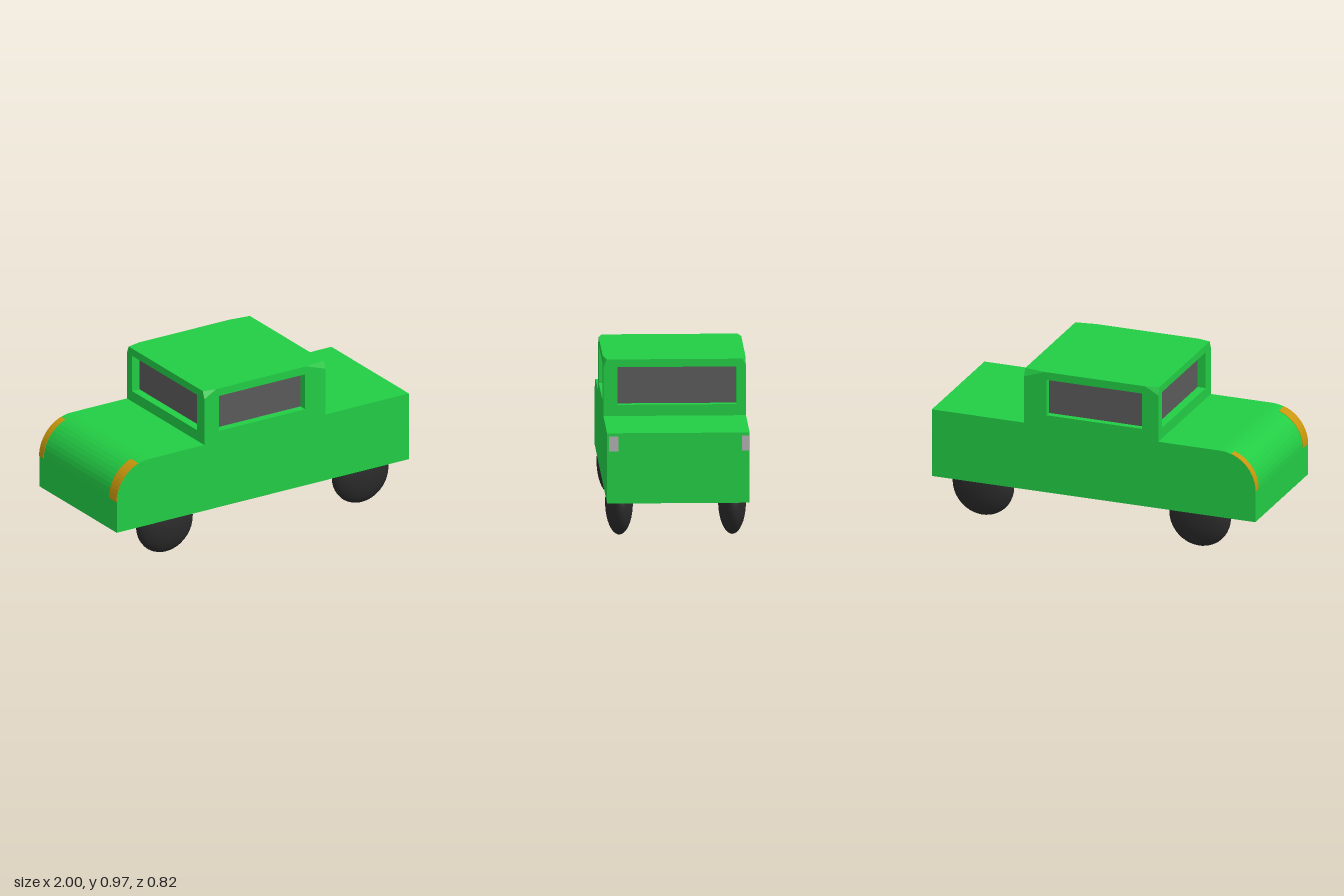
import * as THREE from 'three';
import { ConvexGeometry } from 'three/addons/geometries/ConvexGeometry.js';

const paint = new THREE.MeshStandardMaterial({ color: 0x22cc44 });
const glass = new THREE.MeshStandardMaterial({ color: 0x5a5a5a });
const rubber = new THREE.MeshStandardMaterial({ color: 0x2b2b2b });
const amber = new THREE.MeshStandardMaterial({ color: 0xc8960c });
const lampGrey = new THREE.MeshStandardMaterial({ color: 0xb0b0b0 });

// Main dimensions
const HALF_W = 0.41, FLOOR = 0.23, DECK = 0.64, ROOF = 0.97;
const CAB_X0 = -0.4, CAB_X1 = 0.43, WALL = 0.05;
const SILL = 0.705, LINTEL = 0.925;
const NOSE_R = 0.22, NOSE_X = -1 + NOSE_R, NOSE_Y = DECK - NOSE_R;

export function createModel() {
  const car = new THREE.Group();
  car.name = 'car';

  const add = (name, geometry, material, parent = car) => {
    const mesh = new THREE.Mesh(geometry, material);
    mesh.name = name;
    parent.add(mesh);
    return mesh;
  };
  // Box given by its minimum and maximum corners
  const box = (name, a, b, material, parent) => {
    const g = new THREE.BoxGeometry(b[0] - a[0], b[1] - a[1], b[2] - a[2]);
    g.translate((a[0] + b[0]) / 2, (a[1] + b[1]) / 2, (a[2] + b[2]) / 2);
    return add(name, g, material, parent);
  };
  const polygon = pts => new THREE.Shape(pts.map(p => new THREE.Vector2(...p)));
  const rect = (x0, y0, x1, y1) => [[x0, y0], [x1, y0], [x1, y1], [x0, y1]];
  const extrude = (shape, depth) =>
    new THREE.ExtrudeGeometry(shape, { depth, bevelEnabled: false, curveSegments: 6 });

  // Body: side profile with a rounded nose at -x
  const profile = new THREE.Shape();
  profile.moveTo(-1, FLOOR);
  profile.lineTo(1, FLOOR);
  profile.lineTo(1, DECK);
  profile.lineTo(NOSE_X, DECK);
  profile.absarc(NOSE_X, NOSE_Y, NOSE_R, Math.PI / 2, Math.PI, false);
  profile.closePath();
  add('body', extrude(profile, 2 * HALF_W).translate(0, 0, -HALF_W), paint);

  // Cabin
  const cabin = new THREE.Group();
  cabin.name = 'cabin';
  car.add(cabin);
  const inner = HALF_W - WALL;
  box('roof', [CAB_X0 + WALL, LINTEL, -inner], [CAB_X1 - WALL, ROOF, inner], paint, cabin);

  // Side walls with window openings and trimmed upper corners
  for (const s of [1, -1]) {
    const wall = polygon([
      [CAB_X0, DECK], [CAB_X1, DECK], [CAB_X1, 0.925],
      [0.3, ROOF], [-0.32, ROOF], [CAB_X0, 0.925],
    ]);
    wall.holes.push(polygon(rect(-0.3, SILL, 0.29, LINTEL - 0.002)));
    add('cabinSide', extrude(wall, WALL).translate(0, 0, s > 0 ? inner : -HALF_W), paint, cabin);
    box('sideWindow', [-0.33, SILL - 0.03, s * inner - 0.01],
      [0.32, LINTEL + 0.02, s * inner + 0.001 * (s < 0 ? -1 : 0)], glass, cabin);

    // Slanted facets that fill the trimmed corners
    for (const [endX, roofX] of [[CAB_X1, 0.3], [CAB_X0, -0.32]]) {
      const corner = [
        [endX, 0.925, HALF_W], [roofX, ROOF, HALF_W], [endX, ROOF, 0.392],
        [endX, 0.925, inner], [roofX, ROOF, inner], [endX, ROOF, inner],
      ].map(([x, y, z]) => new THREE.Vector3(x, y, s * z));
      add('roofCorner', new ConvexGeometry(corner), paint, cabin);
    }
  }

  // End walls with windscreen and rear window
  for (const [name, x, glassX] of [
    ['windscreen', CAB_X0, CAB_X0 + WALL],
    ['rearWindow', CAB_X1 - WALL, CAB_X1 - WALL - 0.01],
  ]) {
    const wall = polygon(rect(-inner, DECK, inner, ROOF));
    wall.holes.push(polygon(rect(-0.33, SILL, 0.355, LINTEL)));
    add('cabinEnd', extrude(wall, WALL).rotateY(Math.PI / 2).translate(x, 0, 0), paint, cabin);
    box(name, [glassX, SILL - 0.03, -inner + 0.001],
      [glassX + 0.01, LINTEL + 0.02, inner - 0.001], glass, cabin);
  }

  // Headlamp strips wrapped over the nose
  for (const [z0, z1] of [[0.33, 0.409], [-0.409, -0.362]]) {
    const strip = new THREE.Shape();
    const end = Math.PI * 0.605;
    strip.absarc(NOSE_X, NOSE_Y, NOSE_R + 0.002, end, Math.PI, false);
    strip.absarc(NOSE_X, NOSE_Y, NOSE_R - 0.02, Math.PI, end, true);
    strip.closePath();
    add('headlamp', extrude(strip, z1 - z0).translate(0, 0, z0), amber);
  }

  // Tail lamps
  for (const [z0, z1] of [[0.345, 0.4], [-0.405, -0.367]])
    box('tailLamp', [0.98, 0.535, z0], [1.002, 0.622, z1], lampGrey);

  // Wheels: flattened spheres tucked into the floor
  for (const x of [-0.623, 0.717])
    for (const z of [0.331, -0.319]) {
      const wheel = add('wheel', new THREE.SphereGeometry(1, 32, 20), rubber);
      wheel.scale.set(0.188, 0.188, 0.08);
      wheel.position.set(x, 0.19, z);
    }

  return car;
}
